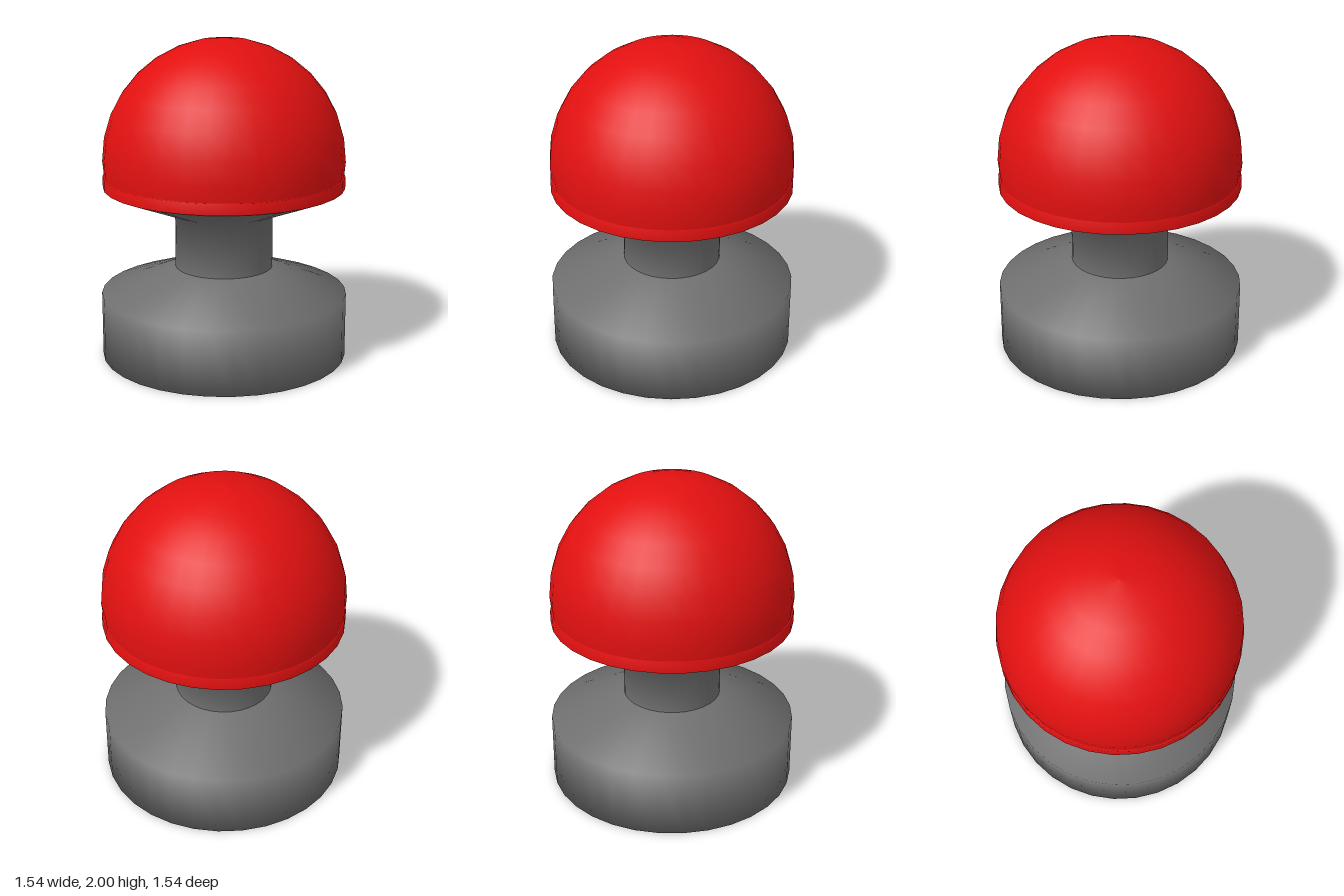
import * as THREE from 'three';

const SEGMENTS = 32;

export function createModel() {
  const model = new THREE.Group();
  const grey = new THREE.MeshStandardMaterial({ color: 0x707070 });
  grey.name = 'grey';
  const red = new THREE.MeshStandardMaterial({ color: 0xe21010 });
  red.name = 'red';

  // Turned part from [radius, height] pairs, listed bottom to top
  const turn = (name, material, profile) => {
    const points = profile.map(([r, y]) => new THREE.Vector2(r, y));
    const mesh = new THREE.Mesh(new THREE.LatheGeometry(points, SEGMENTS), material);
    mesh.name = name;
    model.add(mesh);
  };

  // Drum base with a sloping shoulder
  turn('base', grey, [[0, 0], [0.77, 0], [0.77, 0.405], [0.305, 0.57]]);

  // Narrow stem flaring out to carry the cap
  turn('stem', grey, [[0.305, 0.57], [0.305, 0.91], [0.75, 1.085]]);

  // Thin band around the bottom of the cap
  turn('capRim', red, [[0.75, 1.085], [0.75, 1.155], [0.735, 1.155]]);

  // Domed cap, running slightly past its equator
  const radius = 0.75, centre = 1.25;
  const dome = [[0.738, 1.13]];
  for (let i = 0; i <= 8; i++) {
    const a = (i / 8) * Math.PI / 2;
    dome.push([i === 8 ? 0 : radius * Math.cos(a), centre + radius * Math.sin(a)]);
  }
  turn('capDome', red, dome);

  return model;
}
